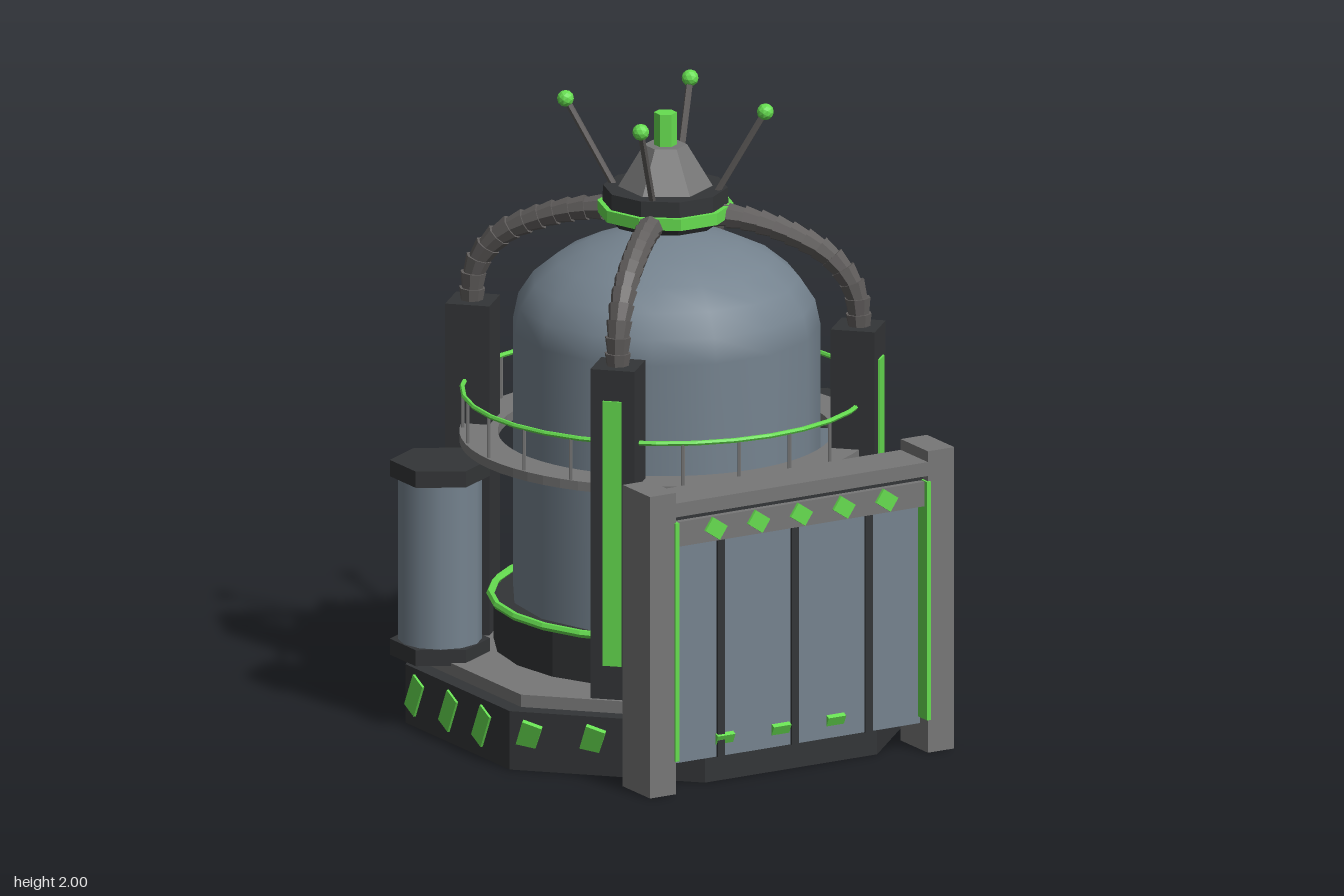
import * as THREE from 'three';

const mat = (color, flatShading = true) => new THREE.MeshStandardMaterial({ color, flatShading });
const GREY = mat(0x777777), DARK = mat(0x333537), GREEN = mat(0x66dd50), PIPE = mat(0x5f5c5b);
const STEEL = mat(0x75838f, false);
const COS8 = Math.cos(Math.PI / 8);

function add(parent, name, geometry, material, x = 0, y = 0, z = 0) {
  const mesh = new THREE.Mesh(geometry, material);
  mesh.name = name;
  mesh.position.set(x, y, z);
  parent.add(mesh);
  return mesh;
}

// Box given by its min and max on each axis
function box(parent, name, material, x0, x1, y0, y1, z0, z1) {
  return add(parent, name, new THREE.BoxGeometry(x1 - x0, y1 - y0, z1 - z0), material,
    (x0 + x1) / 2, (y0 + y1) / 2, (z0 + z1) / 2);
}

// Upright prism or frustum between two heights
function prism(parent, name, material, rBottom, rTop, y0, y1, sides, turn = 0, x = 0, z = 0) {
  const m = add(parent, name, new THREE.CylinderGeometry(rTop, rBottom, y1 - y0, sides), material, x, (y0 + y1) / 2, z);
  m.rotation.y = turn;
  return m;
}

// Cylinder between two points
function rod(parent, name, material, a, b, rA, rB, sides) {
  const dir = b.clone().sub(a);
  const m = add(parent, name, new THREE.CylinderGeometry(rB, rA, dir.length(), sides), material);
  m.position.copy(a).add(b).multiplyScalar(0.5);
  m.quaternion.setFromUnitVectors(new THREE.Vector3(0, 1, 0), dir.normalize());
}

function ring(parent, name, material, r, tube, y, segments) {
  const m = add(parent, name, new THREE.TorusGeometry(r, tube, 6, segments), material, 0, y, 0);
  m.rotation.x = Math.PI / 2;
}

function buildBase(tower) {
  prism(tower, 'basePlinth', DARK, 0.76 / COS8, 0.76 / COS8, 0, 0.19, 8, Math.PI / 8);
  prism(tower, 'baseDeck', GREY, 0.705 / COS8, 0.705 / COS8, 0.19, 0.23, 8, Math.PI / 8);
  // Three leaning warning plates on every side
  for (let i = 0; i < 8; i++) {
    const yaw = i * Math.PI / 4;
    for (const offset of [-0.255, -0.05, 0.15]) {
      const p = new THREE.Vector3(offset, 0.103, 0.76).applyAxisAngle(new THREE.Vector3(0, 1, 0), yaw);
      const m = add(tower, 'warningPlate', new THREE.BoxGeometry(0.064, 0.12, 0.016), GREEN, p.x, p.y, p.z);
      m.rotation.set(0.45, yaw, 0);
    }
  }
}

function buildTank(tower) {
  prism(tower, 'tankFoot', DARK, 0.54, 0.54, 0.23, 0.385, 20);
  ring(tower, 'tankFootBand', GREEN, 0.548, 0.013, 0.39, 24);
  const profile = [new THREE.Vector2(0.485, 0.36)];
  for (let i = 0; i <= 6; i++) {
    const a = i / 6 * Math.PI / 2;
    profile.push(new THREE.Vector2(i === 6 ? 0 : 0.485 * Math.cos(a), 1.26 + 0.305 * Math.sin(a)));
  }
  add(tower, 'tank', new THREE.LatheGeometry(profile, 15, Math.PI), STEEL);
}

function buildWalkway(tower) {
  const shape = new THREE.Shape().absarc(0, 0, 0.645, 0, Math.PI * 2);
  shape.holes.push(new THREE.Path().absarc(0, 0, 0.525, 0, Math.PI * 2, true));
  const floor = add(tower, 'walkway',
    new THREE.ExtrudeGeometry(shape, { depth: 0.03, bevelEnabled: false, curveSegments: 32 }), GREY, 0, 0.915, 0);
  floor.rotation.x = Math.PI / 2;
  ring(tower, 'handrail', GREEN, 0.637, 0.008, 1.052, 32);
  const count = 22;
  for (let i = 0; i < count; i++) {
    const a = (i + 0.4) / count * Math.PI * 2;
    prism(tower, 'railPost', GREY, 0.006, 0.006, 0.915, 1.05, 5, 0, Math.sin(a) * 0.635, Math.cos(a) * 0.635);
  }
}

// One pillar with its light strip, ribbed pipe and antenna, all in the local x-y plane
function buildQuarter(tower, angle) {
  const q = new THREE.Group();
  q.name = 'pillarAssembly';
  q.rotation.y = angle;
  tower.add(q);
  box(q, 'pillar', DARK, 0.55, 0.692, 0.23, 1.3, -0.071, 0.071);
  box(q, 'pillarLight', GREEN, 0.68, 0.699, 0.34, 1.2, -0.03, 0.03);

  const path = new THREE.CatmullRomCurve3([
    [0.625, 1.28], [0.612, 1.41], [0.535, 1.515], [0.4, 1.585], [0.27, 1.62], [0.16, 1.63],
  ].map(([x, y]) => new THREE.Vector3(x, y, 0)));
  const pts = path.getSpacedPoints(13);
  for (let i = 0; i < 13; i++) {
    rod(q, 'pipeSegment', PIPE, pts[i], pts[i + 1].clone().lerp(pts[i], -0.15), 0.033, 0.042, 8);
  }
  const foot = new THREE.Vector3(0.16, 1.69, 0), tip = new THREE.Vector3(0.322, 1.973, 0);
  rod(q, 'antennaRod', PIPE, foot, tip, 0.011, 0.011, 6);
  add(q, 'antennaTip', new THREE.IcosahedronGeometry(0.027, 1), GREEN, tip.x, tip.y, 0);
}

function buildCrown(tower) {
  const turn = Math.PI / 10;
  prism(tower, 'crownUnderside', DARK, 0.17, 0.19, 1.595, 1.625, 10, turn);
  prism(tower, 'crownBand', GREEN, 0.214, 0.214, 1.622, 1.66, 10, turn);
  prism(tower, 'crownCollar', DARK, 0.198, 0.196, 1.655, 1.71, 10, turn);
  prism(tower, 'crownCone', GREY, 0.148, 0.068, 1.71, 1.845, 6);
  prism(tower, 'crownBeacon', GREEN, 0.036, 0.036, 1.84, 1.95, 6);
}

function buildSideTank(tower, side) {
  const x = side * 0.664, z = -0.265;
  prism(tower, 'sideTankBody', STEEL, 0.132, 0.132, 0.25, 0.82, 12, 0, x, z);
  prism(tower, 'sideTankLowerCap', DARK, 0.157, 0.157, 0.22, 0.272, 6, 0, x, z);
  prism(tower, 'sideTankUpperCap', DARK, 0.157, 0.157, 0.8, 0.853, 6, 0, x, z);
}

function buildGate(parent) {
  const gate = new THREE.Group();
  gate.name = 'gate';
  parent.add(gate);
  for (const s of [-1, 1]) {
    add(gate, 'gatePost', new THREE.BoxGeometry(0.096, 0.98, 0.165), GREY, s * 0.508, 0.49, 0.7225);
    add(gate, 'gateLight', new THREE.BoxGeometry(0.014, 0.775, 0.06), GREEN, s * 0.46, 0.495, 0.782);
  }
  box(gate, 'gateLintel', GREY, -0.465, 0.465, 0.9, 0.945, 0.64, 0.805);
  box(gate, 'gateShadowBar', DARK, -0.465, 0.465, 0.88, 0.9, 0.67, 0.775);
  box(gate, 'gateHeader', GREY, -0.465, 0.465, 0.8, 0.88, 0.68, 0.795);
  box(gate, 'gateDoor', STEEL, -0.465, 0.465, 0.085, 0.8, 0.69, 0.757);
  for (const x of [-0.27, 0, 0.27]) {
    box(gate, 'doorSeam', DARK, x - 0.013, x + 0.013, 0.085, 0.8, 0.683, 0.764);
  }
  for (let i = -2; i <= 2; i++) {
    const m = add(gate, 'headerPlate', new THREE.BoxGeometry(0.063, 0.05, 0.016), GREEN, i * 0.156, 0.842, 0.797);
    m.rotation.z = -0.6;
  }
}

export function createModel() {
  const model = new THREE.Group();
  model.name = 'reactorTower';
  const tower = new THREE.Group();
  tower.name = 'tower';
  tower.position.z = -0.022;
  model.add(tower);

  buildBase(tower);
  buildTank(tower);
  buildWalkway(tower);
  for (let i = 0; i < 4; i++) buildQuarter(tower, Math.PI / 4 + i * Math.PI / 2);
  buildCrown(tower);
  for (const side of [-1, 1]) buildSideTank(tower, side);
  buildGate(model);
  return model;
}
